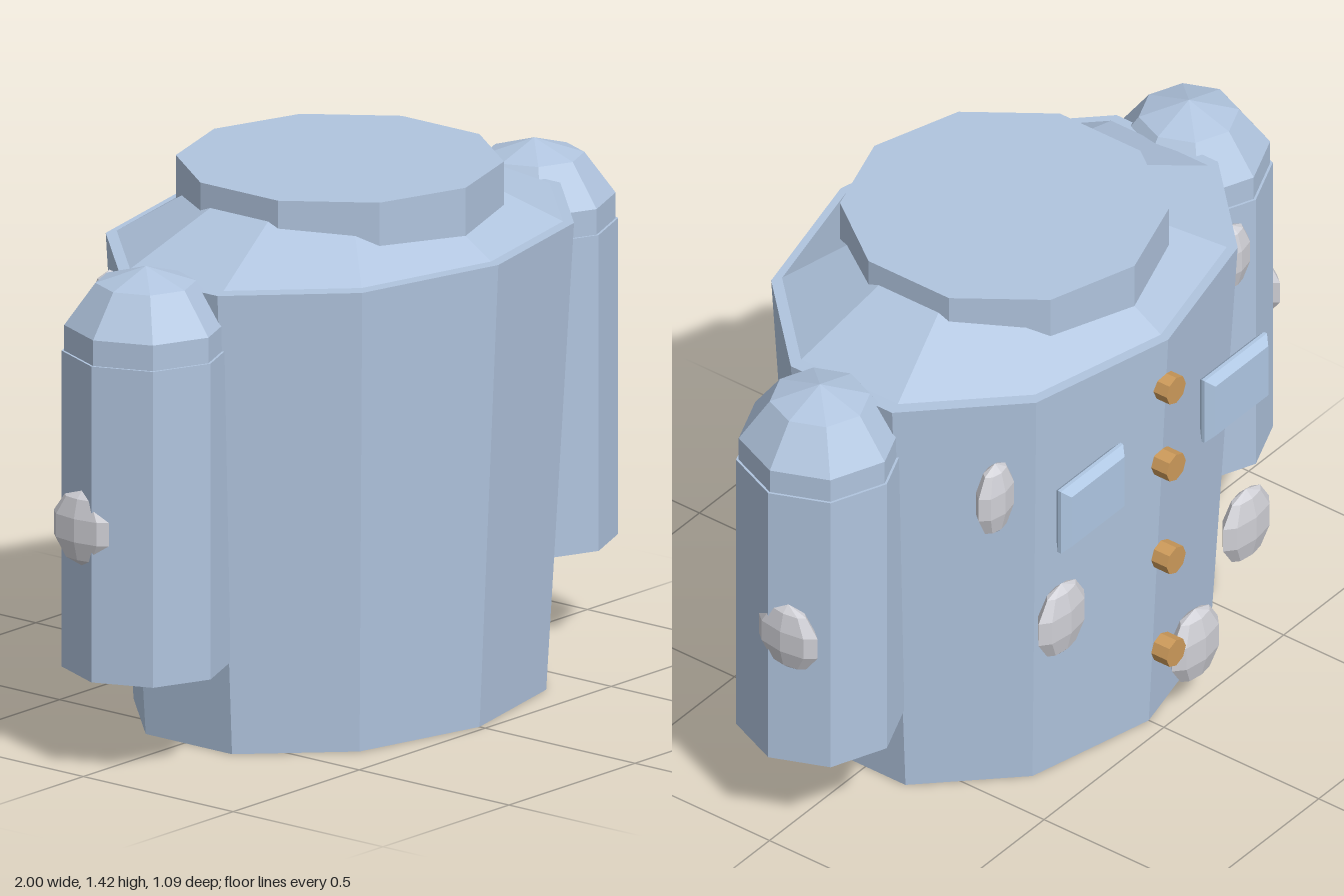
import * as THREE from 'three';

const material = (name, color) => new THREE.MeshStandardMaterial({ name, color });

// Faceted normals: every triangle gets its own flat normal
function faceted(geometry) {
  const g = geometry.index ? geometry.toNonIndexed() : geometry;
  g.computeVertexNormals();
  return g;
}

export function createModel() {
  const model = new THREE.Group();
  const blue = material('steelBlue', 0xb0c4de);
  const pocketBlue = material('pocketBlue', 0xb0c8e4);
  const grey = material('paleGrey', 0xd0d0d6);
  const gold = material('brass', 0xcc9a5a);
  const midZ = 0.015;

  function add(name, geometry, mat, x, y, z, parent = model) {
    const mesh = new THREE.Mesh(faceted(geometry), mat);
    mesh.name = name;
    mesh.position.set(x, y, z);
    parent.add(mesh);
    return mesh;
  }

  // Ten-sided oval drum between two heights; depth is the z/x ratio
  function drum(name, rTop, rBottom, y0, y1, depth) {
    const g = new THREE.CylinderGeometry(rTop, rBottom, y1 - y0, 10).scale(1, 1, depth);
    add(name, g, blue, 0, (y0 + y1) / 2, midZ);
  }
  drum('torso', 0.715, 0.63, 0, 1.24, 0.74);
  drum('shoulders', 0.34, 0.68, 1.245, 1.4, 0.743);
  drum('collar', 0.42, 0.42, 1.2, 1.425, 1);

  // Sleeves with domed shoulders
  for (const side of [1, -1]) {
    const sleeve = new THREE.Group();
    sleeve.name = side > 0 ? 'leftSleeve' : 'rightSleeve';
    sleeve.position.set(side * 0.77, 0, midZ);
    model.add(sleeve);
    add('sleeveTube', new THREE.CylinderGeometry(0.216, 0.216, 0.84, 8), blue, 0, 0.67, 0, sleeve);
    add('sleeveDome', new THREE.SphereGeometry(0.22, 8, 5), blue, 0, 1.09, 0, sleeve);
  }

  // Bevelled pockets on the back
  const w = 0.11, h = 0.078, bevel = 0.02;
  const outline = new THREE.Shape([
    new THREE.Vector2(-w, -h), new THREE.Vector2(w, -h),
    new THREE.Vector2(w, h), new THREE.Vector2(-w, h),
  ]);
  for (const side of [1, -1]) {
    const pocket = new THREE.ExtrudeGeometry(outline, {
      depth: 0.01, bevelEnabled: true, bevelSegments: 1, bevelSize: bevel, bevelThickness: bevel,
    });
    add('pocket', pocket, pocketBlue, side * 0.3, 0.903, -0.5);
  }

  // Row of buttons down the back
  for (const y of [0.255, 0.55, 0.845, 1.09]) {
    add('button', new THREE.CylinderGeometry(0.04, 0.04, 0.05, 8).rotateX(Math.PI / 2), gold, 0, y, -0.515);
  }

  // Flattened tufts: centre x, y, z, then half sizes
  const tufts = [
    [0.52, 0.97, -0.357, 0.072, 0.11, 0.036],
    [0.37, 0.545, -0.455, 0.1, 0.11, 0.034],
    [-0.12, 0.2, -0.507, 0.1, 0.11, 0.038],
    [-0.42, 0.375, -0.44, 0.1, 0.11, 0.036],
    [-0.54, 1.09, -0.3, 0.07, 0.1, 0.036],
    [0.965, 0.647, -0.033, 0.035, 0.1, 0.1],
    [-0.965, 0.647, -0.033, 0.035, 0.1, 0.1],
  ];
  for (const [x, y, z, sx, sy, sz] of tufts) {
    add('tuft', new THREE.SphereGeometry(1, 8, 5).scale(sx, sy, sz), grey, x, y, z);
  }
  return model;
}
